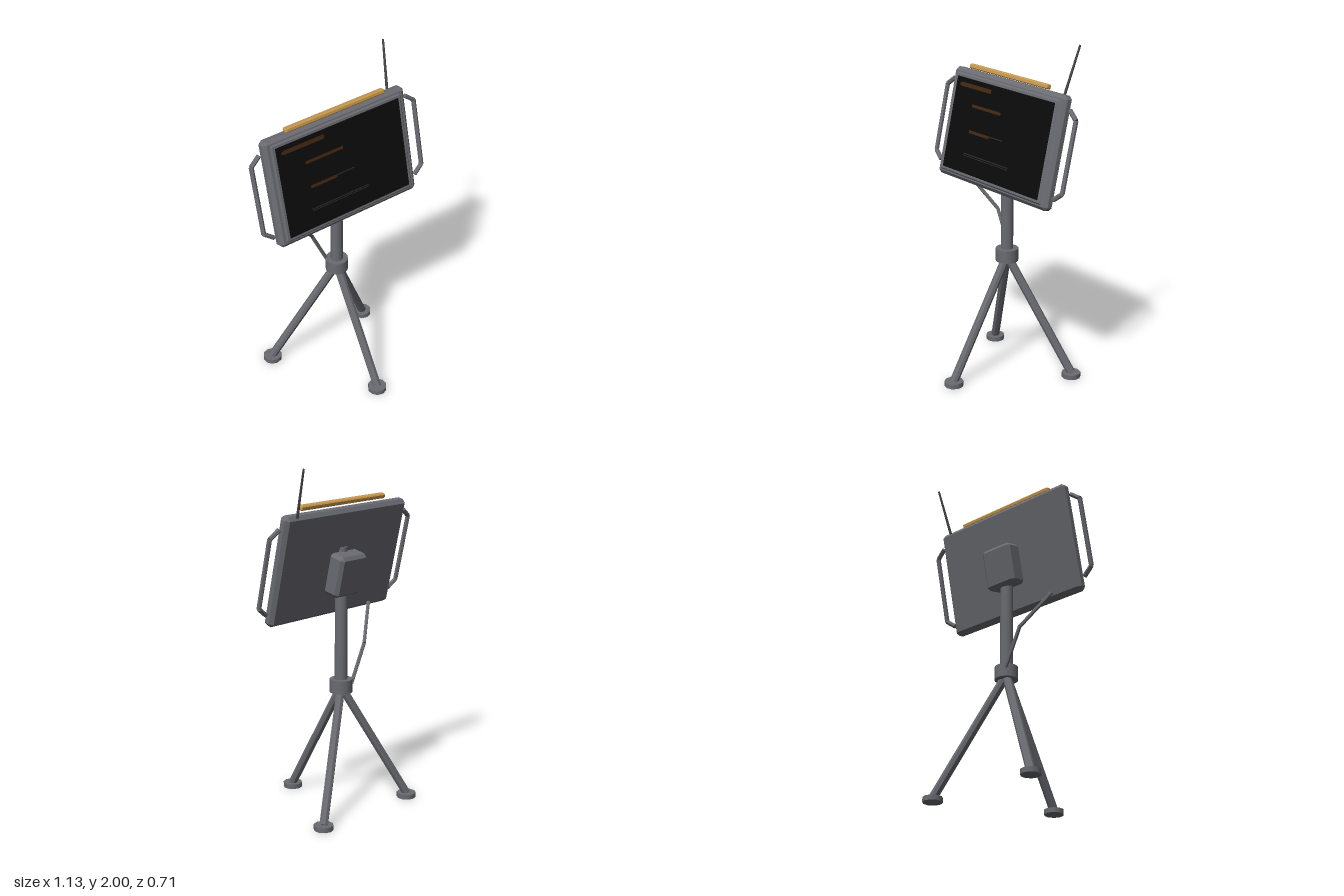
import * as THREE from 'three';
import { ConvexGeometry } from 'three/addons/geometries/ConvexGeometry.js';

function material(name, color) {
  const m = new THREE.MeshStandardMaterial({ color });
  m.name = name;
  return m;
}

// Box with every edge cut by c
function chamferBox(w, h, d, c) {
  const pts = [];
  for (const x of [-1, 1]) for (const y of [-1, 1]) for (const z of [-1, 1])
    for (let full = 0; full < 3; full++) {
      const half = [w / 2, h / 2, d / 2].map((v, i) => (i === full ? v : v - c));
      pts.push(new THREE.Vector3(x * half[0], y * half[1], z * half[2]));
    }
  return new ConvexGeometry(pts);
}

function faceted(geometry) {
  const g = geometry.toNonIndexed();
  g.computeVertexNormals();
  return g;
}

export function createModel() {
  const model = new THREE.Group();
  model.name = 'consoleOnTripod';
  const metal = material('grey metal', 0x6a6b71);
  const dark = material('dark metal', 0x46474b);
  const gold = material('amber', 0xc8994e);
  const black = material('screen black', 0x0b0b0c);
  const brown = material('dim orange', 0x45270f);
  const dim = material('dim grey', 0x2a2a2b);

  function add(parent, name, geometry, mat, x = 0, y = 0, z = 0) {
    const mesh = new THREE.Mesh(geometry, mat);
    mesh.name = name;
    mesh.position.set(x, y, z);
    parent.add(mesh);
    return mesh;
  }

  // Faceted rod between two points
  function rod(parent, name, a, b, rStart, rEnd, sides, mat) {
    const from = new THREE.Vector3(...a), to = new THREE.Vector3(...b);
    const dir = to.clone().sub(from);
    const g = faceted(new THREE.CylinderGeometry(rEnd, rStart, dir.length(), sides));
    const mid = from.clone().add(to).multiplyScalar(0.5);
    const mesh = add(parent, name, g, mat, mid.x, mid.y, mid.z);
    mesh.quaternion.setFromUnitVectors(new THREE.Vector3(0, 1, 0), dir.normalize());
  }

  function path(parent, name, points, r, sides, mat) {
    for (let i = 0; i + 1 < points.length; i++)
      rod(parent, name, points[i], points[i + 1], r, r, sides, mat);
  }

  // Tripod legs with round feet
  for (const [x, z] of [[0, 0.3], [0.348, -0.302], [-0.348, -0.302]]) {
    rod(model, 'leg', [0, 0.71, -0.1], [x, 0.025, z], 0.025, 0.025, 8, metal);
    add(model, 'foot', new THREE.CylinderGeometry(0.056, 0.056, 0.028, 10), metal, x, 0.014, z);
  }

  // Collar and mast
  add(model, 'collar', new THREE.CylinderGeometry(0.066, 0.066, 0.076, 20), metal, 0, 0.719, -0.1);
  add(model, 'mast', new THREE.CylinderGeometry(0.036, 0.036, 0.8, 16), metal, 0, 1.12, -0.1);

  // Tilted display head
  const head = new THREE.Group();
  head.name = 'displayHead';
  head.position.set(0, 1.436, -0.062);
  head.rotation.x = -THREE.MathUtils.degToRad(13);
  model.add(head);
  add(head, 'casing', chamferBox(0.95, 0.635, 0.07, 0.02), metal, 0, 0, -0.001);
  add(head, 'bezel', chamferBox(0.878, 0.58, 0.03, 0.009), metal, 0, 0, 0.028);
  add(head, 'screen', new THREE.BoxGeometry(0.83, 0.535, 0.004), black, 0, 0, 0.044);
  add(head, 'mountBox', chamferBox(0.206, 0.24, 0.11, 0.018), metal, 0, -0.046, -0.083);

  // Screen bars: x start, x end, y, height
  const bars = [
    [-0.37, -0.105, 0.228, 0.024, brown],
    [-0.245, 0.005, 0.122, 0.017, brown],
    [-0.235, -0.06, -0.026, 0.017, brown],
    [-0.06, 0.06, -0.02, 0.006, dim],
    [-0.25, 0.14, -0.156, 0.006, dim],
    [-0.25, 0.14, -0.167, 0.004, dim],
  ];
  for (const [x0, x1, y, h, mat] of bars)
    add(head, 'screenBar', new THREE.BoxGeometry(x1 - x0, h, 0.002), mat, (x0 + x1) / 2, y, 0.0465);
  add(head, 'screenBarTip', new THREE.BoxGeometry(0.025, 0.014, 0.002), brown, -0.37, 0.228, 0.0465);

  // Side handles
  for (const s of [1, -1])
    path(head, 'handle', [
      [s * 0.493, 0.245, 0], [s * 0.551, 0.2, 0], [s * 0.551, -0.2, 0], [s * 0.493, -0.245, 0],
    ], 0.0135, 6, metal);

  // Light bar above the casing
  const lightBar = add(model, 'lightBar', chamferBox(0.664, 0.027, 0.036, 0.006), gold, 0, 1.773, -0.111);
  lightBar.rotation.x = head.rotation.x;

  // Antenna and hanging cable
  rod(model, 'antenna', [0.4, 1.73, -0.16], [0.43, 2, -0.241], 0.008, 0.006, 6, dark);
  path(model, 'cable', [
    [-0.285, 1.15, -0.045], [-0.14, 0.95, -0.148], [-0.035, 0.73, -0.148],
  ], 0.011, 6, metal);

  return model;
}
